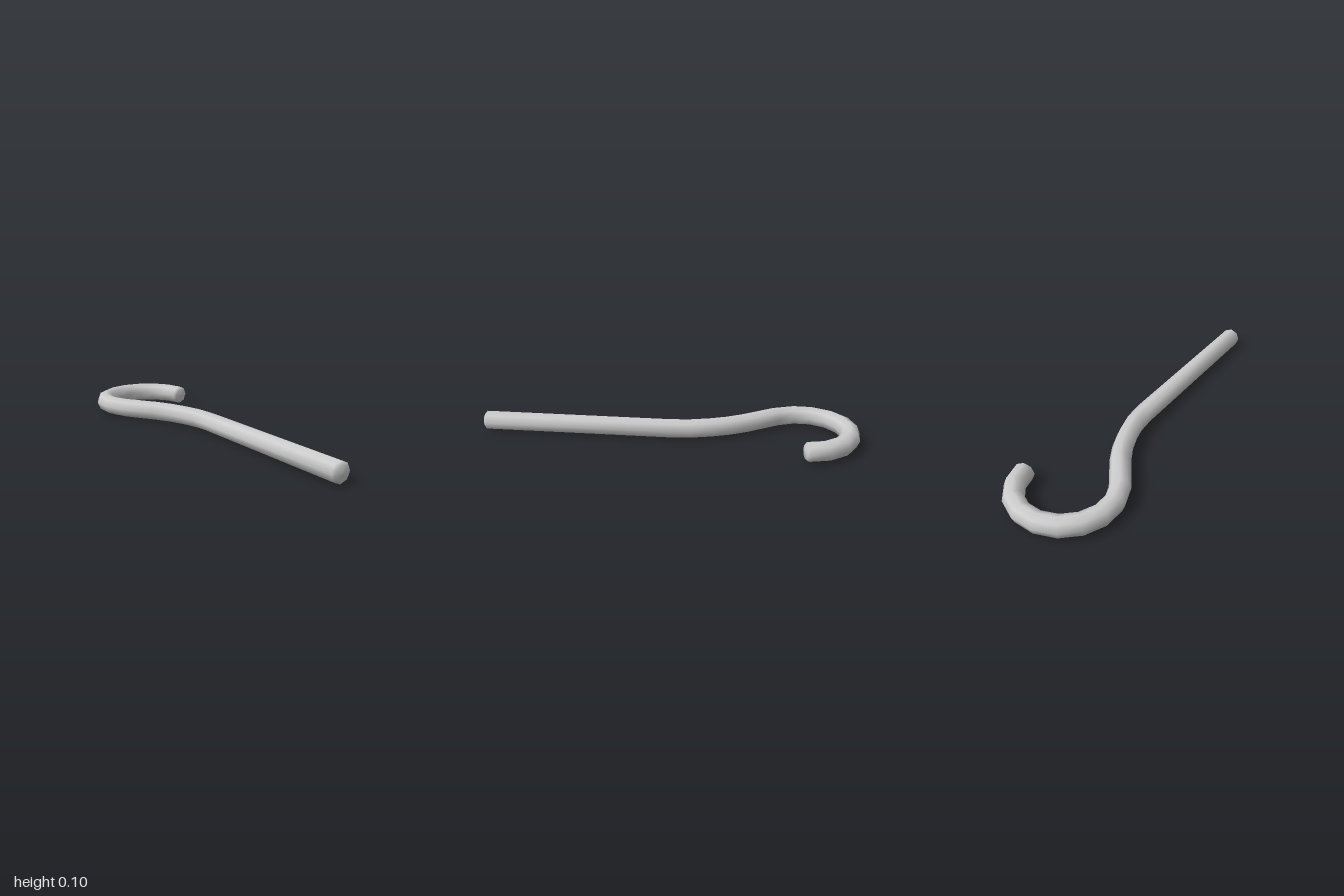
import * as THREE from 'three';

const R = 0.052, SIDES = 8;

// Centre line seen from above (x, z): straight shaft, S-bend, then a round hook
function centreLine() {
  const pts = [
    [-0.075, 0.982], [-0.013, -0.01], [-0.016, -0.115], [-0.037, -0.225],
    [-0.066, -0.32], [-0.107, -0.41], [-0.207, -0.58],
  ];
  const hook = 8;
  for (let i = 0; i <= hook; i++) {
    const a = THREE.MathUtils.lerp(0.12, -Math.PI - 0.02, i / hook);
    pts.push([-0.24 * Math.cos(a), -0.708 + 0.24 * Math.sin(a)]);
  }
  return pts.map(([x, z]) => new THREE.Vector3(x, R, z));
}

// Sweep an eight-sided ring along the centre line, with slightly domed ends
function sweep(path) {
  const n = path.length;
  const up = new THREE.Vector3(0, 1, 0);
  const rows = path.map((p, i) => ({
    p, r: R,
    t: path[Math.min(i + 1, n - 1)].clone().sub(p).normalize()
      .add(p.clone().sub(path[Math.max(i - 1, 0)]).normalize()).normalize(),
  }));
  const cap = (row, sign) => [[0.7, 0.014], [0, 0.018]].map(([k, d]) => ({
    p: row.p.clone().addScaledVector(row.t, sign * d), r: R * k, t: row.t,
  }));
  const all = [...cap(rows[0], -1).reverse(), ...rows, ...cap(rows[n - 1], 1)];

  const pos = [], idx = [];
  all.forEach(({ p, r, t }, i) => {
    const side = new THREE.Vector3().crossVectors(up, t);
    for (let j = 0; j < SIDES; j++) {
      const a = (j / SIDES) * Math.PI * 2;
      const v = p.clone().addScaledVector(side, r * Math.cos(a)).addScaledVector(up, r * Math.sin(a));
      pos.push(v.x, v.y, v.z);
      if (i === all.length - 1) continue;
      const A = i * SIDES + j, B = i * SIDES + (j + 1) % SIDES;
      idx.push(A, B, A + SIDES, B, B + SIDES, A + SIDES);
    }
  });
  const g = new THREE.BufferGeometry();
  g.setAttribute('position', new THREE.Float32BufferAttribute(pos, 3));
  g.setIndex(idx);
  g.computeVertexNormals();
  return g;
}

export function createModel() {
  const group = new THREE.Group();
  group.name = 'hookedCane';
  const cane = new THREE.Mesh(sweep(centreLine()), new THREE.MeshStandardMaterial({ color: 0xcccccc }));
  cane.name = 'caneRod';
  group.add(cane);
  return group;
}
